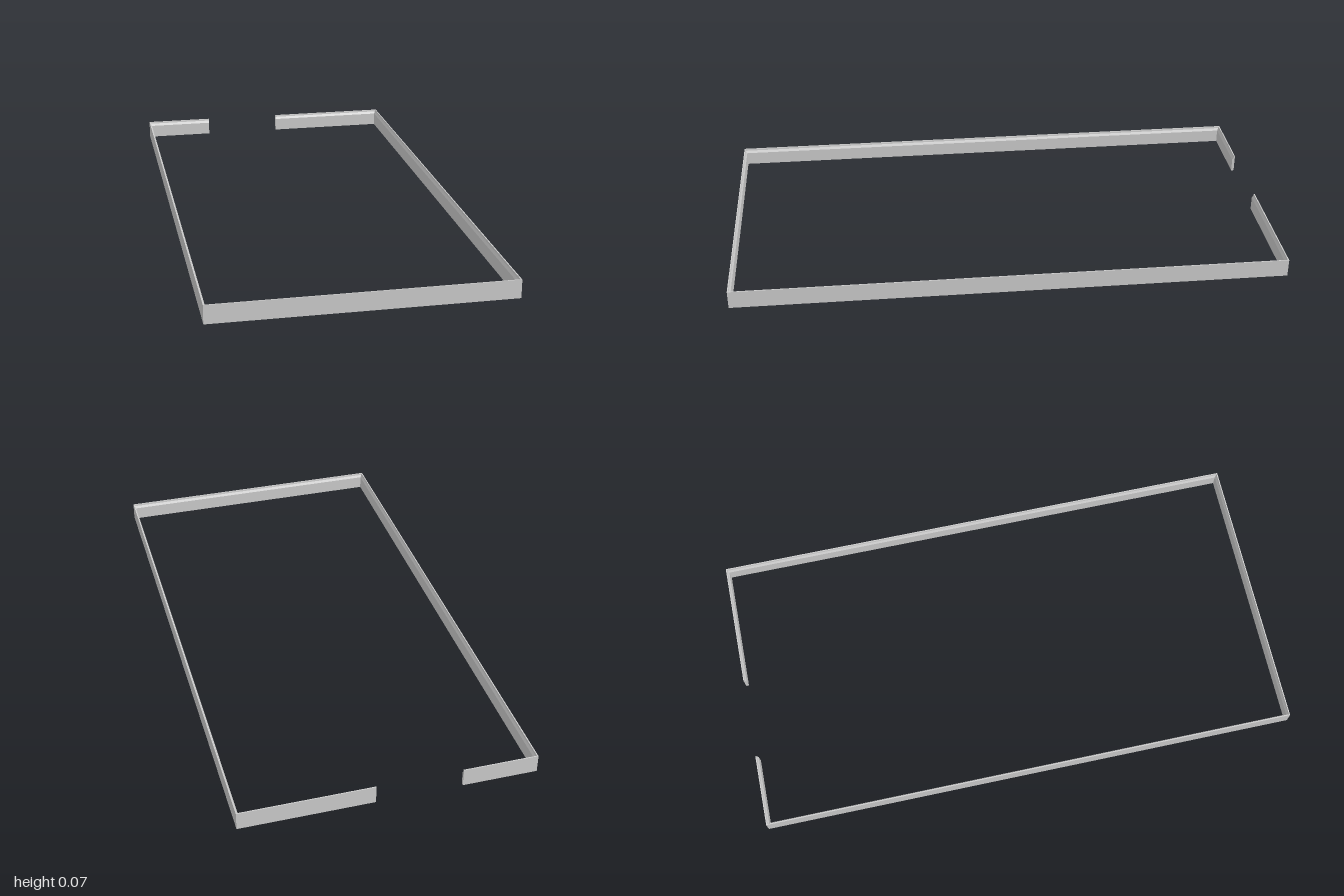
import * as THREE from 'three';

// Moulding profile: [inset from the outer face, height], counter-clockwise
const PROFILE = [[0, 0], [0.01, 0], [0.01, 0.05], [0.005, 0.059], [0.004, 0.066], [0, 0.066]];

// Outer path round the room: [x, z, inward x, inward z]; the gap is the doorway
const PATH = [
  [-0.255, -1, 0, 1],
  [-0.522, -1, 1, 1],
  [-0.522, 1, 1, -1],
  [0.522, 1, -1, -1],
  [0.522, -1, -1, 1],
  [0.05, -1, 0, 1],
];
const NAMES = ['backRightBoard', 'rightBoard', 'frontBoard', 'leftBoard', 'backLeftBoard'];

// Profile placed at a path point, mitred at the corners
const section = ([x, z, ix, iz]) => PROFILE.map(([d, y]) => [x + ix * d, y, z + iz * d]);

function boardGeometry(from, to, capStart, capEnd) {
  const a = section(from), b = section(to), n = a.length, pos = [];
  const tri = (...pts) => pts.forEach((p) => pos.push(...p));
  for (let i = 0; i < n; i++) {
    const j = (i + 1) % n;
    tri(a[i], a[j], b[j]);
    tri(a[i], b[j], b[i]);
  }
  // Flat ends at the doorway
  for (let i = 1; i < n - 1; i++) {
    if (capStart) tri(a[0], a[i + 1], a[i]);
    if (capEnd) tri(b[0], b[i], b[i + 1]);
  }
  const geometry = new THREE.BufferGeometry();
  geometry.setAttribute('position', new THREE.Float32BufferAttribute(pos, 3));
  geometry.computeVertexNormals();
  return geometry;
}

export function createModel() {
  const group = new THREE.Group();
  group.name = 'skirtingBoards';
  const material = new THREE.MeshStandardMaterial({ color: 0xcccccc, flatShading: true });
  NAMES.forEach((name, i) => {
    const geometry = boardGeometry(PATH[i], PATH[i + 1], i === 0, i === NAMES.length - 1);
    const mesh = new THREE.Mesh(geometry, material);
    mesh.name = name;
    group.add(mesh);
  });
  return group;
}
